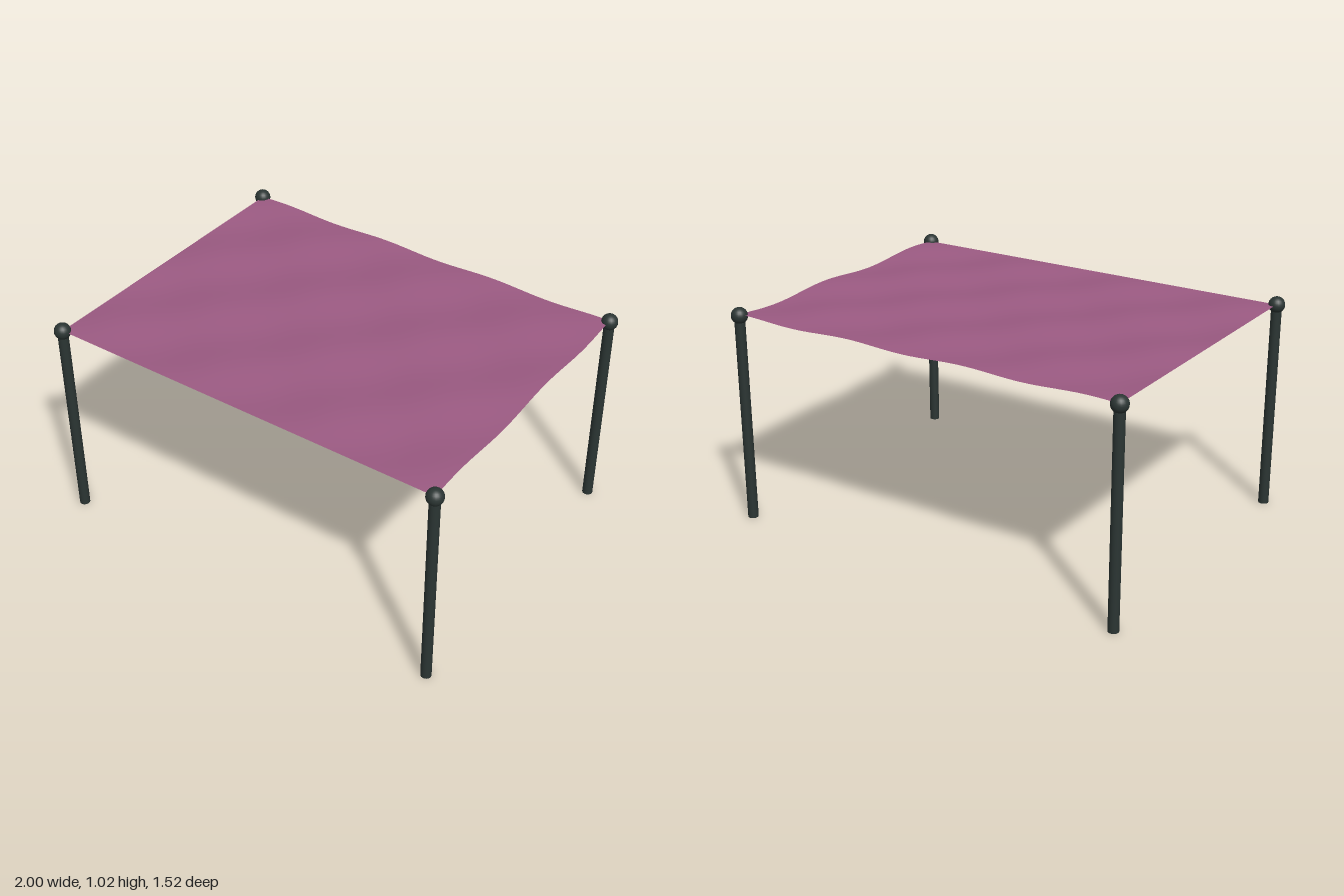
import * as THREE from 'three';

const HALF_X = 0.962, HALF_Z = 0.721, TOP = 0.983;

// Gently rippled sheet, straight along its -x and +z edges
function canopyGeometry() {
  const g = new THREE.PlaneGeometry(HALF_X * 2, HALF_Z * 2, 60, 48);
  g.rotateX(-Math.PI / 2);
  const p = g.attributes.position;
  for (let i = 0; i < p.count; i++) {
    const u = p.getX(i) + HALF_X, v = HALF_Z - p.getZ(i);
    p.setY(i, 0.01 * Math.sin(u * Math.PI / 0.294) * Math.sin(v * Math.PI / 0.344));
  }
  g.computeVertexNormals();
  return g;
}

export function createModel() {
  const model = new THREE.Group();
  model.name = 'canopy';
  const cloth = new THREE.MeshStandardMaterial({ color: 0x9b5a82, side: THREE.DoubleSide });
  cloth.name = 'plum cloth';
  const metal = new THREE.MeshStandardMaterial({ color: 0x2b3533 });
  metal.name = 'dark metal';

  const sheet = new THREE.Mesh(canopyGeometry(), cloth);
  sheet.name = 'clothSheet';
  sheet.position.y = TOP;
  model.add(sheet);

  // Four corner posts with ball caps
  const poleGeometry = new THREE.CylinderGeometry(0.024, 0.024, TOP, 16);
  const ballGeometry = new THREE.SphereGeometry(0.038, 20, 14);
  for (const sx of [-1, 1]) {
    for (const sz of [-1, 1]) {
      const post = new THREE.Group();
      post.name = (sz > 0 ? 'front' : 'back') + (sx > 0 ? 'Left' : 'Right') + 'Post';
      post.position.set(sx * HALF_X, 0, sz * HALF_Z);
      const pole = new THREE.Mesh(poleGeometry, metal);
      pole.name = 'pole';
      pole.position.y = TOP / 2;
      const ball = new THREE.Mesh(ballGeometry, metal);
      ball.name = 'ballCap';
      ball.position.y = TOP;
      post.add(pole, ball);
      model.add(post);
    }
  }
  return model;
}
